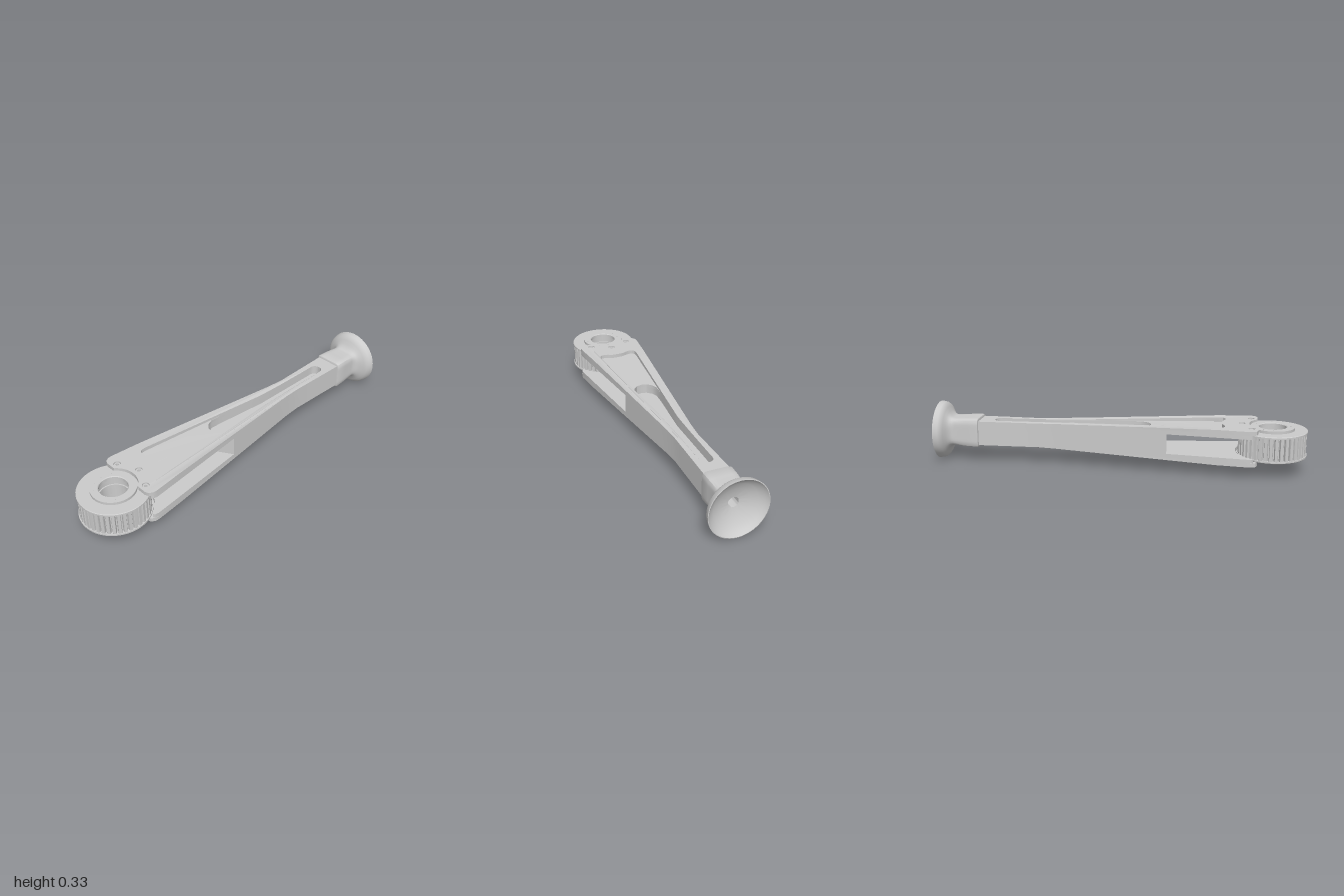
import * as THREE from 'three';
import { toCreasedNormals } from 'three/addons/utils/BufferGeometryUtils.js';

const mat = new THREE.MeshStandardMaterial({ color: 0xcccccc });
const V = (v, u) => new THREE.Vector2(v, u);
const lerp = THREE.MathUtils.lerp;

// Piecewise linear lookup in a list of [x, y] knots
function table(knots, x) {
  if (x <= knots[0][0]) return knots[0][1];
  for (let i = 1; i < knots.length; i++) {
    const [x0, y0] = knots[i - 1], [x1, y1] = knots[i];
    if (x <= x1) return lerp(y0, y1, (x - x0) / (x1 - x0));
  }
  return knots[knots.length - 1][1];
}

// Arm dimensions along its axis u (0 = wheel centre, 1.67 = tip)
const halfWidth = u => table([[0.13, 0.185], [1.2, 0.0705], [1.3, 0.0645], [1.67, 0.072]], u);
const halfHeight = u => table([[0.3, 0.098], [1.3, 0.069]], u);
const pocketWidth = u => table([[0.29, 0.116], [1.1, 0.037], [1.53, 0.035]], u);
const SLOT = 0.055;
const mid = u => (SLOT + halfHeight(u)) / 2;

function mesh(parent, name, geo, crease = 0.55) {
  const m = new THREE.Mesh(toCreasedNormals(geo, crease), mat);
  m.name = name;
  parent.add(m);
  return m;
}

// Extrude an outline in (v, u) between two heights that may vary along u
function slab(points, holes, low, high) {
  const shape = new THREE.Shape(points);
  shape.holes = holes.map(h => new THREE.Path(h));
  const geo = new THREE.ExtrudeGeometry(shape, { depth: 1, bevelEnabled: false });
  const p = geo.attributes.position;
  for (let i = 0; i < p.count; i++) {
    const u = p.getY(i);
    p.setXYZ(i, p.getX(i), lerp(low(u), high(u), p.getZ(i)), -u);
  }
  return geo;
}

const circle = (v, u, r, n) => Array.from({ length: n }, (_, i) =>
  V(v + r * Math.cos(i / n * 2 * Math.PI), u + r * Math.sin(i / n * 2 * Math.PI)));

const stations = [0.13, 0.3, 0.4, 0.5, 0.6, 0.7, 0.8, 0.9, 1, 1.1, 1.2, 1.25, 1.3, 1.4, 1.5, 1.6, 1.67];
const side = (s, from) => stations.filter(u => u > from).map(u => V(s * halfWidth(u), u));

// Arm outline with a round notch about the wheel axis; ear = corner points on the right
function armOutline(r, ear) {
  const a = Math.asin(ear[0][0] / r), notch = [];
  for (let i = 0; i < 24; i++) {
    const t = lerp(-a, a, i / 24);
    notch.push(V(r * Math.sin(t), r * Math.cos(t)));
  }
  return [...notch, ...ear.map(e => V(...e)), ...side(1, 0.1), ...side(-1, 0.1).reverse(),
    ...ear.slice(1).reverse().map(e => V(-e[0], e[1]))];
}

// Pocket outline from a given right half of its wide end to the rounded tip
function pocketOutline(end, from) {
  const right = [...end.map(e => V(...e)),
    ...stations.filter(u => u > from && u < 1.52).map(u => V(pocketWidth(u), u))];
  for (let i = 0; i <= 5; i++) {
    const t = i / 5 * 1.4;
    right.push(V(0.035 * Math.cos(t), 1.53 + 0.035 * Math.sin(t)));
  }
  return [...right, ...right.slice().reverse().filter(p => p.x > 0).map(p => V(-p.x, p.y))];
}

function buildArm(parent) {
  const arm = new THREE.Group();
  arm.name = 'arm';
  parent.add(arm);
  const window = pocketOutline([[0, 0.276], [0.035, 0.274], [0.06, 0.262], [0.08, 0.257],
    [0.1, 0.26], [0.113, 0.272]], 0.28);
  const deep = pocketOutline([[0, 0.668], [0.03, 0.675], [0.055, 0.7], [0.069, 0.735]], 0.76);
  const screws = [[-0.115, 0.115], [0, 0.165], [0.115, 0.115]];
  const lid = armOutline(0.127, [[0.098, 0.081], [0.15, 0.08], [0.172, 0.088], [0.183, 0.108]]);
  const inner = armOutline(0.2, [[0.172, 0.102], [0.181, 0.11]]);
  const lidHoles = [window, ...screws.map(([v, u]) => circle(v, u, 0.019, 14))];

  // Upper and lower fork plates: pocketed lid over a floor sheet
  mesh(arm, 'upperPlate', slab(lid, lidHoles, mid, halfHeight));
  mesh(arm, 'upperPocketFloor', slab(inner, [deep], () => SLOT, mid));
  mesh(arm, 'lowerPlate', slab(lid, lidHoles, u => -halfHeight(u), u => -mid(u)));
  mesh(arm, 'lowerPocketFloor', slab(inner, [deep], u => -mid(u), () => -SLOT));

  // Solid core beyond the slanted end of the fork slot, and its thin web
  const core = [V(-halfWidth(0.569), 0.569), V(halfWidth(0.724), 0.724),
    ...side(1, 0.73), ...side(-1, 0.58).reverse()];
  mesh(arm, 'core', slab(core, [deep], () => -SLOT, () => SLOT));
  mesh(arm, 'web', slab(deep, [], () => -0.016, () => 0.016));

  // Hollow fasteners set in the plate holes
  for (const [v, u] of screws) for (const s of [-1, 1]) {
    const g = slab(circle(v, u, 0.017, 14), [circle(v, u, 0.009, 10)],
      () => s * 0.084 - 0.008, () => s * 0.084 + 0.008);
    mesh(arm, 'plateFastener', g);
  }
}

function buildWheel(parent) {
  const wheel = new THREE.Group();
  wheel.name = 'toothedWheel';
  parent.add(wheel);

  // Toothed rim
  const teeth = [], N = 40;
  for (let i = 0; i < N; i++) {
    for (const [f, r] of [[0, 0.168], [0.22, 0.168], [0.28, 0.181], [0.36, 0.185], [0.86, 0.185], [0.94, 0.181]]) {
      const a = (i + f) / N * 2 * Math.PI;
      teeth.push(V(r * Math.cos(a), r * Math.sin(a)));
    }
  }
  mesh(wheel, 'teeth', slab(teeth, [circle(0, 0, 0.11, 40)], () => -0.064, () => 0.064), 0.3);

  // Side flanges
  const ring = pts => new THREE.LatheGeometry(pts.map(p => V(...p)), 48);
  for (const s of [-1, 1]) {
    const f = mesh(wheel, 'flange', ring([[0.11, -0.005], [0.19, -0.005], [0.19, 0.003],
      [0.187, 0.006], [0.11, 0.006]]));
    f.position.y = s * 0.067;
    if (s < 0) f.rotation.x = Math.PI;
  }

  // Hub with a stepped bore
  mesh(wheel, 'hub', ring([[0.12, -0.088], [0.12, 0.088], [0.079, 0.088], [0.075, 0.084], [0.075, 0.068],
    [0.085, 0.068], [0.085, 0.03], [0.078, 0.03], [0.078, -0.03], [0.085, -0.03], [0.085, -0.068],
    [0.075, -0.068], [0.075, -0.084], [0.079, -0.088], [0.12, -0.088]]));

  // Tiny pins around both hub faces
  for (let i = 0; i < 12; i++) {
    const a = i / 12 * 2 * Math.PI;
    const pin = mesh(wheel, 'hubPin', new THREE.CylinderGeometry(0.004, 0.004, 0.178, 8));
    pin.position.set(0.1 * Math.cos(a), 0, 0.1 * Math.sin(a));
  }
}

// Foot: square socket blending into a round flared cup, hollow at the end
function buildFoot(parent) {
  const sections = [ // [u, half size, roundness exponent]
    [1.648, 0.03, 8], [1.648, 0.077, 8], [1.651, 0.082, 8], [1.657, 0.084, 8], [1.72, 0.082, 8],
    [1.785, 0.078, 7], [1.803, 0.08, 5], [1.817, 0.09, 3.2], [1.83, 0.11, 2.4], [1.84, 0.133, 2.1],
    [1.849, 0.15, 2], [1.862, 0.16, 2], [1.889, 0.165, 2], [1.89, 0.161, 2], [1.872, 0.146, 2],
    [1.855, 0.12, 2], [1.84, 0.085, 2], [1.83, 0.05, 2], [1.826, 0.029, 2], [1.74, 0.029, 2], [1.74, 0, 2]];
  const N = 48, pos = [], idx = [];
  sections.forEach(([u, r, n], i) => {
    for (let j = 0; j < N; j++) {
      const a = j / N * 2 * Math.PI, c = Math.cos(a), s = Math.sin(a);
      const k = r * Math.pow(Math.abs(c) ** n + Math.abs(s) ** n, -1 / n);
      pos.push(k * c, k * s, -u);
      if (i === sections.length - 1) continue;
      const p = i * N + j, q = i * N + (j + 1) % N;
      idx.push(p, p + N, q, q, p + N, q + N);
    }
  });
  const geo = new THREE.BufferGeometry();
  geo.setAttribute('position', new THREE.Float32BufferAttribute(pos, 3));
  geo.setIndex(idx);
  mesh(parent, 'footCup', geo, 0.7);
}

export function createModel() {
  const model = new THREE.Group();
  model.name = 'leg';
  const body = new THREE.Group();
  body.name = 'legBody';
  body.position.set(-0.344, 0.165, 0.81);
  body.rotation.y = -Math.PI / 8;
  model.add(body);
  buildArm(body);
  buildWheel(body);
  buildFoot(body);
  return model;
}
